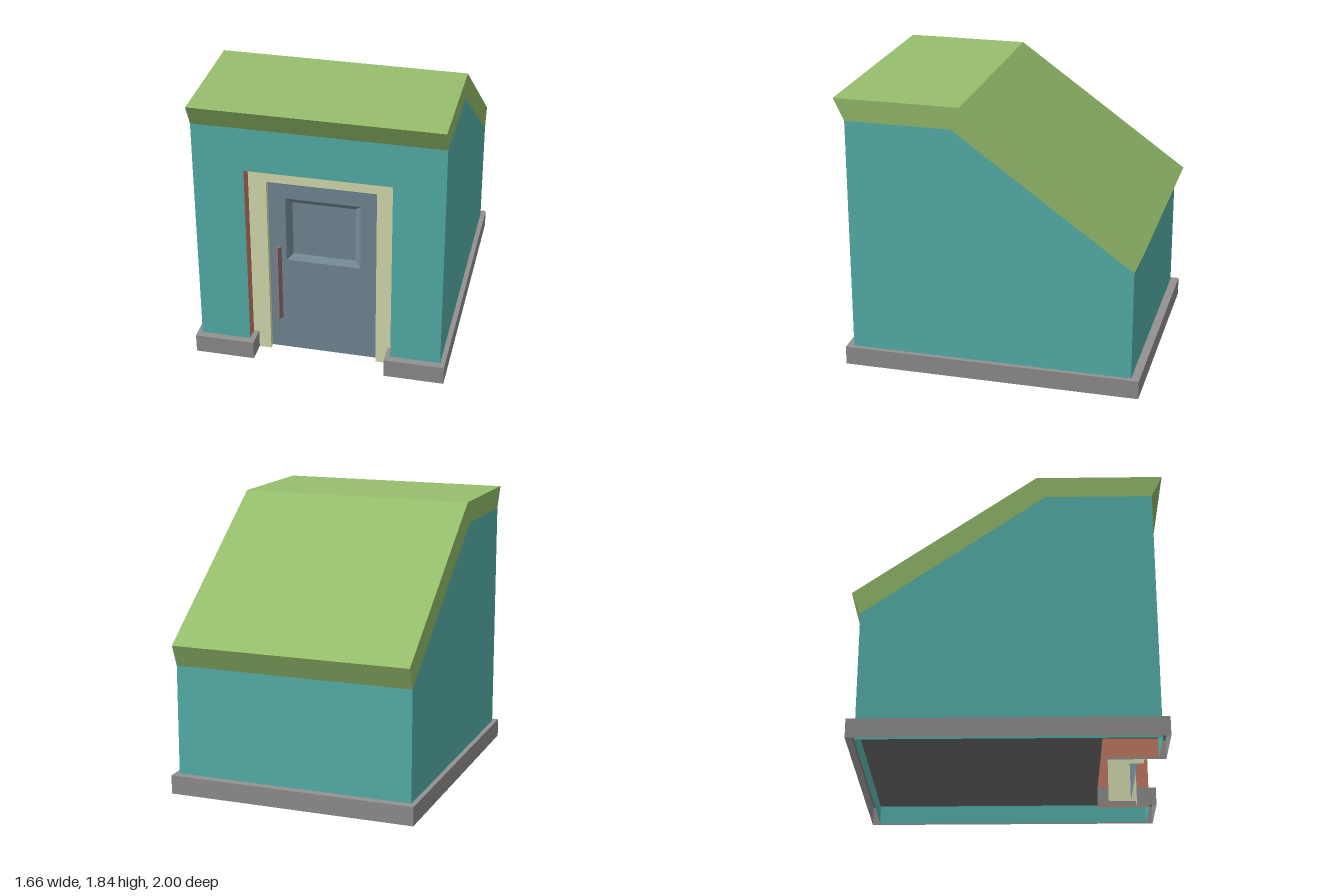
import * as THREE from 'three';

const mat = (name, color, side = THREE.DoubleSide) => {
  const m = new THREE.MeshStandardMaterial({ color, side });
  m.name = name;
  return m;
};

export function createModel() {
  const teal = mat('teal wall', 0x57b5ae);
  const green = mat('green roof', 0x97bf6d, THREE.FrontSide);
  const grey = mat('grey plinth', 0x949192);
  const cream = mat('cream frame', 0xdde5b6);
  const slate = mat('slate door', 0x768c99);
  const brown = mat('brown handle', 0x8a7776, THREE.FrontSide);
  const brick = mat('brick reveal', 0xc97d65);
  const dark = mat('dark floor', 0x757575);

  const group = new THREE.Group();
  const add = (name, geometry, material, x = 0, y = 0, z = 0) => {
    const mesh = new THREE.Mesh(geometry, material);
    mesh.name = name;
    mesh.position.set(x, y, z);
    group.add(mesh);
  };
  const shape = (pts) => new THREE.Shape(pts.map(([x, y]) => new THREE.Vector2(x, y)));
  const flat = (pts) => new THREE.ShapeGeometry(shape(pts));
  // Horizontal sheet from [x, z] points
  const sheet = (pts) => flat(pts.map(([x, z]) => [x, -z])).rotateX(-Math.PI / 2);
  // Flat-shaded strip of quads between two rows of 3D points
  const strip = (a, b) => {
    const pos = [];
    for (let i = 0; i + 1 < a.length; i++) {
      pos.push(...a[i], ...a[i + 1], ...b[i + 1], ...a[i], ...b[i + 1], ...b[i]);
    }
    const g = new THREE.BufferGeometry();
    g.setAttribute('position', new THREE.Float32BufferAttribute(pos, 3));
    g.computeVertexNormals();
    return g;
  };
  const atZ = (pts, z) => pts.map(([x, y]) => [x, y, z]);
  const atY = (pts, y) => pts.map(([x, z]) => [x, y, z]);
  const rect = (x, y0, y1) => [[-x, y0], [x, y0], [x, y1], [-x, y1]];
  const arch = (x, top) => [[x, 0], [x, top], [-x, top], [-x, 0]];

  const W = 0.798, F = 0.93, B = -0.94, EAVE = 0.855, TOP = 1.695, RIDGE = 0.235;
  const H = 0.125, DEEP = 0.58;
  const opening = arch(0.47, 1.4), inside = arch(0.354, 1.284);

  // Walls: thin shell, open underneath
  const side = [[F, 0], [F, TOP], [RIDGE, TOP], [B, EAVE], [B, 0]];
  for (const s of [1, -1]) {
    add(s > 0 ? 'leftWall' : 'rightWall', flat(side).rotateY(-Math.PI / 2), teal, s * W);
  }
  add('backWall', flat(rect(W, 0, EAVE)), teal, 0, 0, B);
  add('frontWall', flat([[-W, 0], [-W, TOP], [W, TOP], [W, 0], ...opening]), teal, 0, 0, F);

  // Roof: flat front half and sloping back half
  const roof = shape([[F, TOP], [1, 1.84], [0.178, 1.84], [-1, 1], [B, EAVE], [RIDGE, TOP]]);
  const roofBody = new THREE.ExtrudeGeometry(roof, { depth: 2 * W, bevelEnabled: false });
  add('roof', roofBody.rotateY(-Math.PI / 2), green, W);

  // Plinth: open skirt that turns in through the doorway, with a ledge on top
  const px = 0.83, pf = 0.978, pb = -0.995;
  const skirt = [[0.429, DEEP], [0.437, pf], [px, pf], [px, pb],
    [-px, pb], [-px, pf], [-0.437, pf], [-0.429, DEEP]];
  const inner = [[-0.47, DEEP], [-0.47, F], [-W, F], [-W, B], [W, B], [W, F], [0.47, F], [0.47, DEEP]];
  add('plinthSkirt', strip(atY(skirt, 0), atY(skirt, H)), grey);
  add('plinthLedge', sheet([...skirt, ...inner]), grey, 0, H);

  // Floor, cut back around the doorway
  add('floor', sheet(inner), dark, 0, H);

  // Doorway reveal through the front wall
  add('doorwayReveal', strip(atZ(opening, F), atZ(opening, DEEP)), brick);

  // Door frame: face and inner lining
  add('doorFrame', flat([...inside, ...[...opening].reverse()]), cream, 0, 0, 0.84);
  add('frameLining', strip(atZ(inside, 0.84), atZ(inside, 0.65)), cream);

  // Door leaf with a bevelled, recessed panel
  const outer = rect(0.243, 0.692, 1.153), pane = rect(0.204, 0.729, 1.114);
  const leaf = shape(inside);
  leaf.holes.push(new THREE.Path(outer.map(([x, y]) => new THREE.Vector2(x, y))));
  add('door', new THREE.ShapeGeometry(leaf), slate, 0, 0, 0.8);
  const ring = (pts, z) => atZ([...pts, pts[0]], z);
  add('panelBevel', strip(ring(outer, 0.8), ring(pane, 0.77)), slate);
  add('panel', flat(pane), slate, 0, 0, 0.77);

  // Handle: upright square bar set on its edge
  const bar = new THREE.CylinderGeometry(0.02, 0.02, 0.55, 4).toNonIndexed();
  bar.computeVertexNormals();
  add('handle', bar, brown, -0.29, 0.525, 0.822);

  return group;
}
